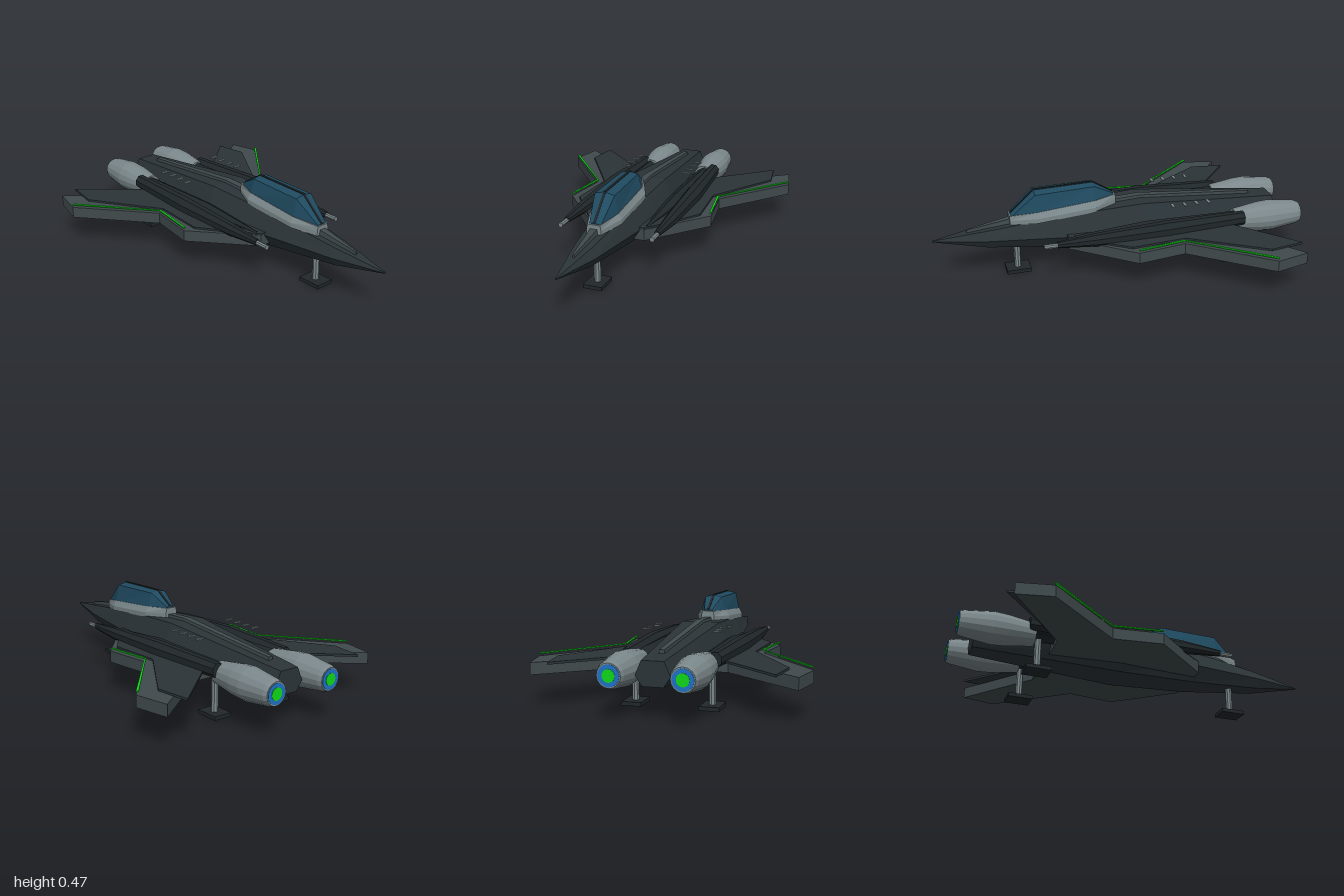
import * as THREE from 'three';

const mat = (color) => new THREE.MeshStandardMaterial({ color, flatShading: true });
const hullMat = mat(0x2b3438), darkMat = mat(0x20272a), wingMat = mat(0x404a4d);
const metalMat = mat(0x7b888b), glassMat = mat(0x1f4a60);
const greenMat = mat(0x10d818), blueMat = mat(0x1f70c4);

function add(parent, name, geometry, material, x = 0, y = 0, z = 0) {
  const mesh = new THREE.Mesh(geometry, material);
  mesh.name = name;
  mesh.position.set(x, y, z);
  parent.add(mesh);
  return mesh;
}

// Skin over closed rings, listed front to back, each counter-clockwise seen from +z
function loft(rings) {
  const pos = [];
  const tri = (...points) => points.forEach((p) => pos.push(...p));
  const n = rings[0].length;
  for (let s = 0; s < rings.length - 1; s++) {
    for (let i = 0; i < n; i++) {
      const j = (i + 1) % n;
      const a = rings[s][i], b = rings[s][j], c = rings[s + 1][j], d = rings[s + 1][i];
      tri(a, d, c);
      tri(a, c, b);
    }
  }
  const front = rings[0], back = rings[rings.length - 1];
  for (let i = 1; i < n - 1; i++) {
    tri(front[0], front[i], front[i + 1]);
    tri(back[0], back[i + 1], back[i]);
  }
  const g = new THREE.BufferGeometry();
  g.setAttribute('position', new THREE.Float32BufferAttribute(pos, 3));
  g.computeVertexNormals();
  return g;
}

// Symmetric ring from right-hand points, bottom to top
const mirrorRing = (z, half) => [
  ...half.map(([x, y]) => [x, y, z]),
  ...half.slice().reverse().map(([x, y]) => [-x, y, z]),
];

const polygonRing = (x, y, z, rx, ry, sides) =>
  Array.from({ length: sides }, (_, i) => {
    const a = ((i + 0.5) / sides) * Math.PI * 2;
    return [x + rx * Math.cos(a), y + ry * Math.sin(a), z];
  });

// Flat plate with an outline in x and z; its upper face lies at y = 0
function plate(outline, side, thickness) {
  const shape = new THREE.Shape(outline.map(([x, z]) => new THREE.Vector2(side * x, z)));
  return new THREE.ExtrudeGeometry(shape, { depth: thickness, bevelEnabled: false }).rotateX(Math.PI / 2);
}

function addLandingGear(parent, name, x, z, legTop) {
  const gear = new THREE.Group();
  gear.name = name;
  gear.position.set(x, 0, z);
  const h = legTop - 0.02;
  add(gear, 'leg', new THREE.CylinderGeometry(0.018, 0.018, h, 8), metalMat, 0, 0.02 + h / 2, 0);
  add(gear, 'foot', new THREE.BoxGeometry(0.1, 0.02, 0.13), darkMat, 0, 0.01, 0);
  parent.add(gear);
}

function addSide(parent, side) {
  const group = new THREE.Group();
  group.name = side > 0 ? 'leftSide' : 'rightSide';
  parent.add(group);

  // Wing, its upper panel and the light along the leading edge
  add(group, 'wing', plate([
    [0.08, 0.31], [0.15, 0.31], [0.41, 0], [0.375, -0.26], [0.685, -0.64],
    [0.645, -0.82], [0.25, -0.51], [0.08, -0.51],
  ], side, 0.06), wingMat, 0, 0.22, 0);
  add(group, 'wingPanel', plate([
    [0.1, 0.31], [0.15, 0.31], [0.355, 0.02], [0.335, -0.275], [0.575, -0.655],
    [0.547, -0.838], [0.25, -0.57], [0.1, -0.57],
  ], side, 0.012), hullMat, 0, 0.23, 0);
  add(group, 'edgeLight', plate([
    [0.41, 0], [0.375, -0.26], [0.685, -0.64], [0.673, -0.645], [0.363, -0.257], [0.4, 0],
  ], side, 0.006), greenMat, 0, 0.238, 0);

  // Slender pod with a gun barrel
  add(group, 'gunPod', loft([
    [0.25, 0.39, 0.016], [0.25, 0.18, 0.033], [0.242, -0.2, 0.046], [0.22, -0.65, 0.036],
  ].map(([x, z, r]) => polygonRing(side * x, 0.245, z, r, r * 1.08, 8))), darkMat);
  add(group, 'gunBarrel', new THREE.CylinderGeometry(0.013, 0.013, 0.1, 8).rotateX(Math.PI / 2),
    metalMat, side * 0.25, 0.242, 0.41);

  // Fairing that joins the pod to the body
  add(group, 'fairing', loft([
    [0.155, 0.28, 0.01], [0.17, -0.1, 0.05], [0.175, -0.64, 0.045],
  ].map(([x, z, r]) => polygonRing(side * x, 0.225, z, r, r, 6))), darkMat);

  // Engine with a glowing nozzle
  const profile = [[0, 0], [0.058, 0], [0.066, 0.02], [0.085, 0.17], [0.081, 0.24], [0.06, 0.385], [0, 0.385]];
  const engine = new THREE.LatheGeometry(profile.map(([r, h]) => new THREE.Vector2(r, h)), 16);
  add(group, 'engine', engine.rotateX(Math.PI / 2), metalMat, side * 0.172, 0.217, -0.997);
  const disc = (r) => new THREE.CylinderGeometry(r, r, 0.004, 16).rotateX(Math.PI / 2);
  add(group, 'nozzleRing', disc(0.052), blueMat, side * 0.172, 0.217, -0.997);
  add(group, 'nozzleCore', disc(0.031), greenMat, side * 0.172, 0.217, -0.999);

  // Row of vent slats
  for (let i = 0; i < 4; i++) {
    add(group, 'ventSlat', new THREE.BoxGeometry(0.045, 0.006, 0.015), metalMat,
      side * 0.18, 0.35, -0.255 - i * 0.067);
  }

  addLandingGear(group, 'rearLandingGear', side * 0.195, -0.595, 0.18);
}

export function createModel() {
  const model = new THREE.Group();
  model.name = 'spacePlane';

  // Faceted fuselage: z, half width, bottom, widest height, top
  add(model, 'fuselage', loft([
    [1.0, 0.003, 0.226, 0.229, 0.232],
    [0.72, 0.07, 0.175, 0.222, 0.27],
    [0.3, 0.128, 0.137, 0.215, 0.322],
    [-0.12, 0.158, 0.123, 0.205, 0.345],
    [-0.9, 0.085, 0.155, 0.205, 0.275],
  ].map(([z, w, yb, ym, yt]) => mirrorRing(z, [[w * 0.6, yb], [w, ym], [w * 0.64, yt]]))), hullMat);

  // Raised strip along the back: z, half width, top
  add(model, 'spine', loft([
    [0.82, 0.006, 0.272], [0.58, 0.024, 0.315], [0.05, 0.024, 0.352],
    [-0.12, 0.024, 0.36], [-0.77, 0.016, 0.304],
  ].map(([z, w, y]) => mirrorRing(z, [[w, y - 0.04], [w * 0.8, y]]))), wingMat);

  // Canopy frame: z, lower half width, upper half width, bottom, top
  add(model, 'canopyFrame', loft([
    [0.595, 0.038, 0.034, 0.285, 0.334],
    [0.46, 0.09, 0.074, 0.3, 0.355],
    [0.14, 0.09, 0.07, 0.325, 0.382],
    [0.02, 0.036, 0.03, 0.335, 0.388],
  ].map(([z, wb, wt, yb, yt]) => mirrorRing(z, [[wb, yb], [wb, yb + 0.025], [wt, yt]]))), metalMat);

  // Canopy glass: z, base half width, base, shoulder half width, shoulder, crown
  const canopy = [
    [0.588, 0.034, 0.328, 0.026, 0.336, 0.34],
    [0.46, 0.073, 0.35, 0.053, 0.445, 0.457],
    [0.14, 0.069, 0.378, 0.046, 0.453, 0.464],
    [0.03, 0.03, 0.38, 0.022, 0.392, 0.396],
  ];
  add(model, 'canopyGlass', loft(canopy.map(([z, wb, yb, ws, ys, yc]) =>
    mirrorRing(z, [[wb, yb], [ws, ys], [0.001, yc]]))), glassMat);
  add(model, 'canopyRib', loft(canopy.map(([z, , , , , yc]) =>
    mirrorRing(z, [[0.006, yc - 0.01], [0.006, yc + 0.003]]))), darkMat);

  addLandingGear(model, 'noseLandingGear', 0, 0.56, 0.2);
  for (const side of [1, -1]) addSide(model, side);
  return model;
}
